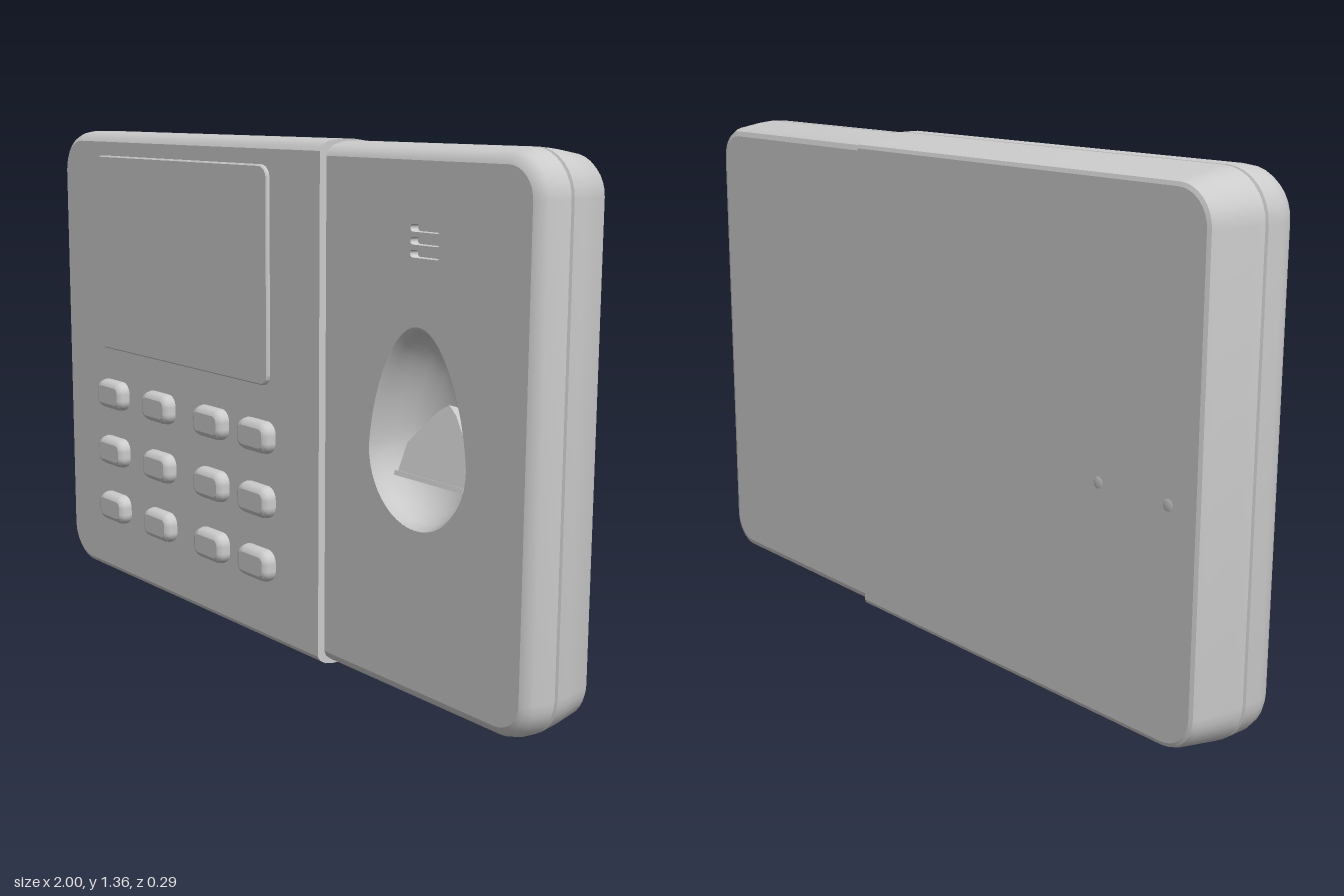
import * as THREE from 'three';
import { mergeGeometries, toCreasedNormals } from 'three/addons/utils/BufferGeometryUtils.js';

const material = new THREE.MeshStandardMaterial({ color: 0xcccccc });

// Counter-clockwise rounded rectangle; radii run bottom-left, bottom-right, top-right, top-left
function roundedRect(x0, x1, y0, y1, radii, inset = 0, seg = 8) {
  const corners = [[x0, y0, 1, 1], [x1, y0, -1, 1], [x1, y1, -1, -1], [x0, y1, 1, -1]];
  const points = [];
  corners.forEach(([x, y, sx, sy], c) => {
    if (radii[c] === 0) return points.push(new THREE.Vector2(x, y));
    const r = Math.max(radii[c] - inset, 0.004);
    for (let i = 0; i <= seg; i++) {
      const a = Math.PI + (c + i / seg) * Math.PI / 2;
      points.push(new THREE.Vector2(x + sx * r + r * Math.cos(a), y + sy * r + r * Math.sin(a)));
    }
  });
  return points;
}

// Skin between stacked rings {points, z}; back-to-front faces outward, front-to-back faces inward
function loft(rings, crease = 0.6) {
  const n = rings[0].points.length, pos = [], index = [];
  rings.forEach(({ points, z }) => points.forEach(p => pos.push(p.x, p.y, z)));
  for (let k = 0; k < rings.length - 1; k++) {
    for (let i = 0; i < n; i++) {
      const j = (i + 1) % n, a = k * n, b = a + n;
      index.push(a + i, a + j, b + j, a + i, b + j, b + i);
    }
  }
  const g = new THREE.BufferGeometry();
  g.setAttribute('position', new THREE.Float32BufferAttribute(pos, 3));
  g.setIndex(index);
  return toCreasedNormals(g, crease);
}

// Flat face closing a ring, facing +z or -z, with optional holes
function cap({ points, z }, facing, holes = []) {
  const shape = new THREE.Shape(points);
  shape.holes = holes.map(h => new THREE.Path(h));
  let g = new THREE.ShapeGeometry(shape).toNonIndexed();
  g.deleteAttribute('uv');
  if (facing < 0) {
    const p = g.attributes.position;
    for (let i = 0; i < p.count; i += 3) {
      const x = p.getX(i), y = p.getY(i);
      p.setXY(i, p.getX(i + 1), p.getY(i + 1));
      p.setXY(i + 1, x, y);
    }
    g.computeVertexNormals();
  }
  return g.translate(0, 0, z);
}

function solid(rings, holes) {
  return mergeGeometries([loft(rings), cap(rings[0], -1), cap(rings[rings.length - 1], 1, holes)]);
}

function addMesh(parent, name, geometry) {
  const mesh = new THREE.Mesh(geometry, material);
  mesh.name = name;
  parent.add(mesh);
  return mesh;
}

// Egg outline of the finger recess
function egg(scale, cy = 0.62) {
  const points = [];
  for (let i = 0; i < 48; i++) {
    const a = i / 48 * Math.PI * 2, s = Math.sin(a);
    const w = 0.17 * (s > 0 ? 1 - 0.15 * s : 1);
    points.push(new THREE.Vector2(0.61 + scale * w * Math.cos(a), cy + scale * (s > 0 ? 0.31 : 0.18) * s));
  }
  return points;
}

export function createModel() {
  const group = new THREE.Group();

  // Main housing: profile of [inset, z] with a parting groove, straight at the seam
  const mainProfile = [[0.036, -0.145], [0.026, -0.141], [0.02, -0.125], [0.004, -0.03], [0, 0],
    [0.006, 0.003], [0.006, 0.008], [0, 0.011], [0, 0.06], [0.005, 0.085], [0.015, 0.102], [0.028, 0.11]];
  addMesh(group, 'mainHousing', solid(mainProfile.map(([d, z]) => ({
    points: roundedRect(-1 + d, 0.27, d, 1.355 - d, [0.12, 0, 0, 0.12], d), z,
  }))));

  // Reader housing: slightly thinner, with holes for the finger recess and vent slots
  const slots = [1.1, 1.13, 1.16].map(y =>
    roundedRect(0.58, 0.68, y - 0.009, y + 0.009, [0.008, 0.008, 0.008, 0.008], 0, 3));
  const readerProfile = [[0.04, -0.13], [0.026, -0.125], [0.016, -0.11], [0.004, -0.04], [0, 0],
    [0.006, 0.003], [0.006, 0.008], [0, 0.011], [0.002, 0.04], [0.01, 0.068], [0.022, 0.083], [0.036, 0.089]];
  addMesh(group, 'readerHousing', solid(readerProfile.map(([d, z]) => ({
    points: roundedRect(0.25, 1 - d, 0.004 + d, 1.351 - d, [0, 0.11, 0.11, 0], d), z,
  })), [egg(1), ...slots]));

  // Finger recess, deepest above its middle
  const bowl = [[1, 0.62, 0.089], [0.97, 0.62, 0.082], [0.94, 0.622, 0.06], [0.87, 0.63, 0.025],
    [0.72, 0.645, -0.012], [0.5, 0.66, -0.035], [0.25, 0.67, -0.046], [0.01, 0.675, -0.05]];
  addMesh(group, 'fingerRecess', loft(bowl.map(([s, cy, z]) => ({ points: egg(s, cy), z })), 0.9));

  // Sloping sensor pad with a small ledge at its foot
  const pad = new THREE.Group();
  pad.name = 'sensorPad';
  const padShape = new THREE.Shape([[-0.12, 0], [0.12, 0], [0.11, 0.08], [0.03, 0.17], [0, 0.19],
    [-0.03, 0.17], [-0.11, 0.08]].map(p => new THREE.Vector2(...p)));
  addMesh(pad, 'sensorPlate',
    new THREE.ExtrudeGeometry(padShape, { depth: 0.1, bevelEnabled: false }).translate(0, 0, -0.1));
  addMesh(pad, 'sensorLedge', new THREE.BoxGeometry(0.24, 0.012, 0.02));
  pad.position.set(0.605, 0.55, 0.035);
  pad.rotation.x = -0.3;
  group.add(pad);

  // Vent slots
  const vents = new THREE.Group();
  vents.name = 'vents';
  slots.forEach(points => {
    const rings = [{ points, z: 0.089 }, { points, z: 0.065 }];
    addMesh(vents, 'ventSlot', mergeGeometries([loft(rings), cap(rings[1], 1)]));
  });
  group.add(vents);

  // Display panel
  const screenProfile = [[0, 0.1], [0, 0.116], [0.004, 0.12]];
  addMesh(group, 'screen', solid(screenProfile.map(([d, z]) => ({
    points: roundedRect(-0.77 + d, 0.065 - d, 0.712 + d, 1.287 - d, [0.015, 0.03, 0.035, 0.01], d), z,
  }))));

  // Keypad: cushion-shaped keys in four columns and three rows
  const keyProfile = [[0.004, 0.1], [0, 0.118], [0.003, 0.132], [0.009, 0.141], [0.018, 0.145]];
  const key = solid(keyProfile.map(([d, z]) => ({
    points: roundedRect(-0.071 + d, 0.071 - d, -0.044 + d, 0.044 - d, [0.034, 0.034, 0.034, 0.034], d, 6), z,
  })));
  const keypad = new THREE.Group();
  keypad.name = 'keypad';
  for (const x of [-0.703, -0.454, -0.19, 0.02]) {
    for (const y of [0.225, 0.4, 0.575]) addMesh(keypad, 'key', key).position.set(x, y, 0);
  }
  group.add(keypad);

  // Small studs on the back
  for (const x of [-0.66, -0.88]) {
    const stud = addMesh(group, 'backStud', new THREE.SphereGeometry(0.018, 16, 10));
    stud.scale.z = 0.2;
    stud.position.set(x, 0.61, -0.143);
  }
  return group;
}
